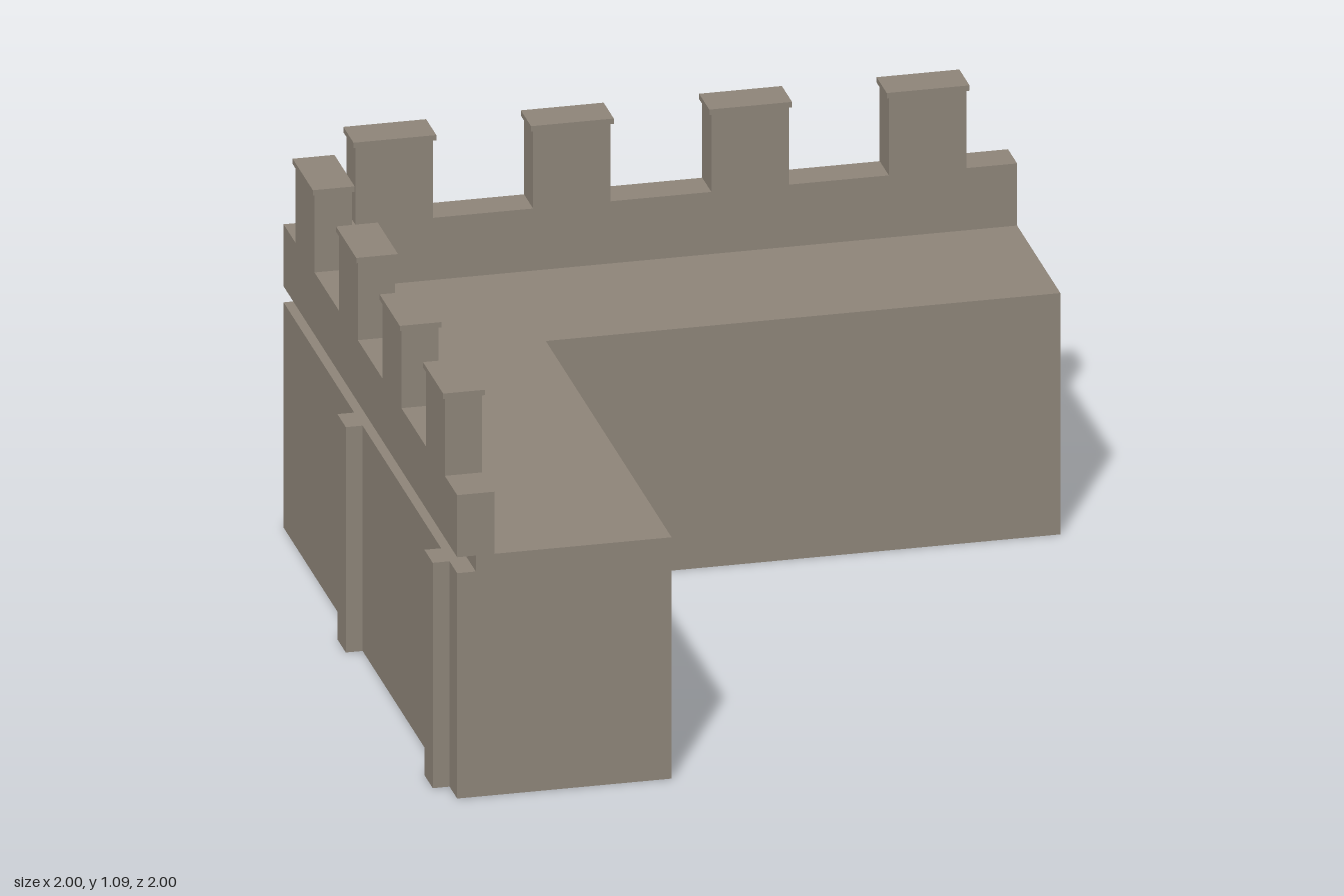
import * as THREE from 'three';

const stone = new THREE.MeshStandardMaterial({ color: 0x8d8478 });
stone.name = 'stone';

const END = 1, OUTER = -0.955, NECK = -0.905, PARAPET_IN = -0.855, INNER = -0.38;
const WALL_TOP = 0.635, WALK = 0.68, PARAPET_TOP = 0.855, MERLON_TOP = 1.075, CAP_TOP = 1.09;

// L-shaped slab between two heights; 'notch' cuts a square out of the outer corner
function corner(name, outer, inner, y0, y1, notch = 0) {
  const pts = [[END, outer], [END, inner], [inner, inner], [inner, END], [outer, END]];
  if (notch) pts.push([outer, outer + notch], [outer + notch, outer + notch], [outer + notch, outer]);
  else pts.push([outer, outer]);
  const shape = new THREE.Shape(pts.map(([x, z]) => new THREE.Vector2(x, -z)));
  const geo = new THREE.ExtrudeGeometry(shape, { depth: y1 - y0, bevelEnabled: false });
  geo.rotateX(-Math.PI / 2).translate(0, y0, 0);
  const mesh = new THREE.Mesh(geo, stone);
  mesh.name = name;
  return mesh;
}

// Box along the back wall (side 'back') or swapped onto the side wall
function block(name, side, along, width, d0, d1, y0, y1) {
  const back = side === 'back', depth = d1 - d0, mid = (d0 + d1) / 2;
  const mesh = new THREE.Mesh(
    new THREE.BoxGeometry(back ? width : depth, y1 - y0, back ? depth : width), stone);
  mesh.position.set(back ? along : mid, (y0 + y1) / 2, back ? mid : along);
  mesh.name = name;
  return mesh;
}

export function createModel() {
  const model = new THREE.Group();
  model.name = 'cornerBattlement';

  // Wall, recessed neck carrying the walkway, and parapet
  model.add(
    corner('wall', OUTER, INNER, 0, WALL_TOP, 0.05),
    corner('walkway', NECK, INNER, WALL_TOP, WALK),
    corner('parapet', OUTER, PARAPET_IN, WALK, PARAPET_TOP, 0.05));

  // Merlons with thin overhanging caps
  for (const side of ['back', 'side']) {
    for (const at of [-0.67, -0.194, 0.284, 0.76]) {
      model.add(
        block('merlon', side, at, 0.208, OUTER, PARAPET_IN, PARAPET_TOP, MERLON_TOP),
        block('merlonCap', side, at, 0.222, OUTER - 0.006, PARAPET_IN + 0.006, MERLON_TOP, CAP_TOP));
    }
  }

  // Pilasters on the outer faces
  for (const x of [-0.778, 0.172]) model.add(block('pilaster', 'back', x, 0.092, -1, OUTER, 0, WALL_TOP));
  for (const z of [-0.084, 0.87]) model.add(block('pilaster', 'side', z, 0.092, -1, OUTER, 0, WALL_TOP));

  return model;
}
